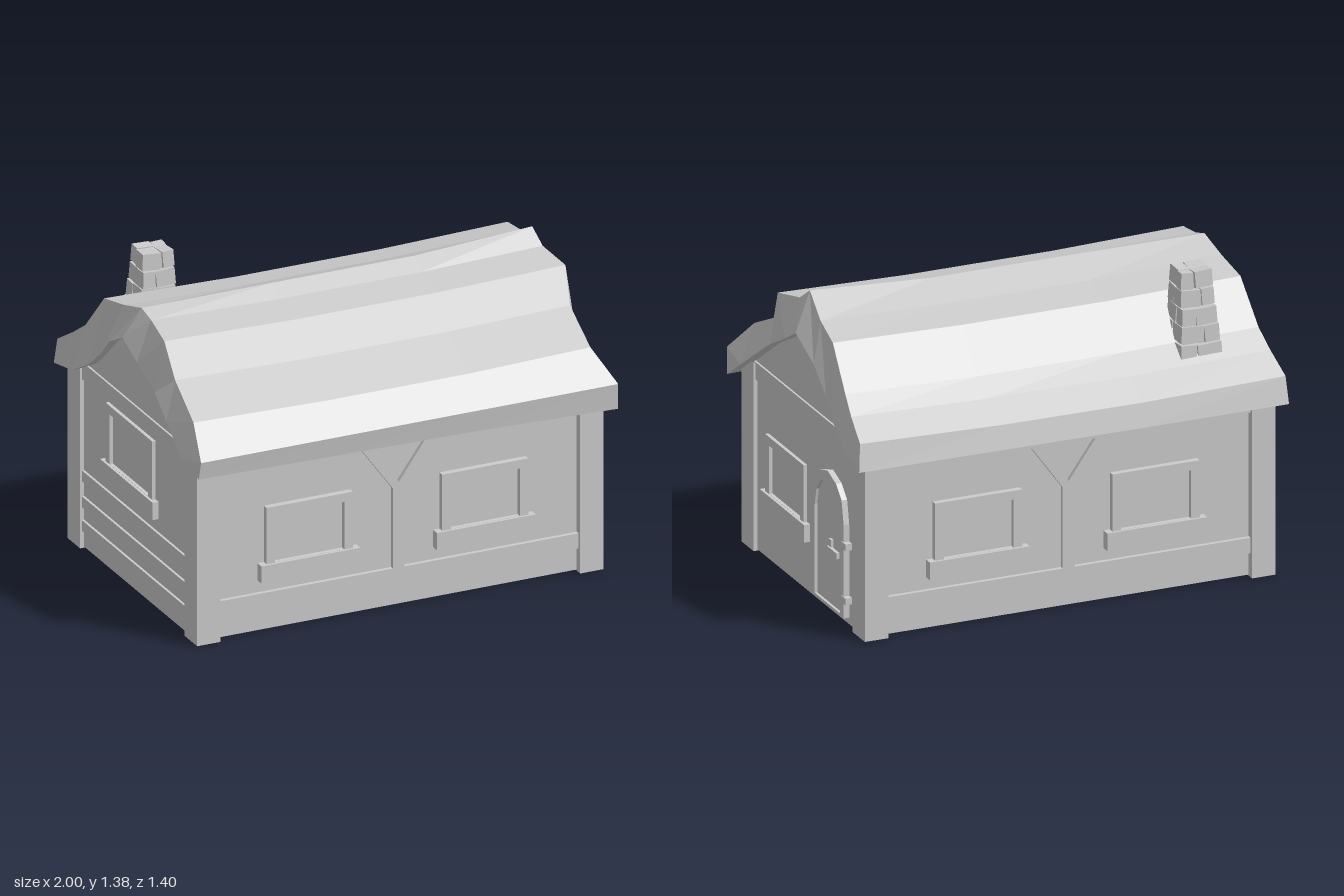
import * as THREE from 'three';

const grey = new THREE.MeshStandardMaterial({ color: 0xcccccc, flatShading: true, side: THREE.DoubleSide });

function add(parent, name, geometry) {
  const mesh = new THREE.Mesh(geometry, grey);
  mesh.name = name;
  parent.add(mesh);
  return mesh;
}

// box given by its limits
function box(parent, name, x0, x1, y0, y1, z0, z1) {
  const g = new THREE.BoxGeometry(x1 - x0, y1 - y0, z1 - z0);
  return add(parent, name, g.translate((x0 + x1) / 2, (y0 + y1) / 2, (z0 + z1) / 2));
}

const rect = (x0, x1, y0, y1) => [[x0, y0], [x1, y0], [x1, y1], [x0, y1]];

function outlineShape(outline, holes = []) {
  const vecs = pts => pts.map(p => new THREE.Vector2(...p));
  const shape = new THREE.Shape(vecs(outline));
  shape.holes = holes.map(h => new THREE.Path(vecs(h)));
  return shape;
}

// flat outline with holes, extruded from z0 to z1
function slab(parent, name, outline, holes, z0, z1) {
  const g = new THREE.ExtrudeGeometry(outlineShape(outline, holes), { depth: z1 - z0, bevelEnabled: false });
  return add(parent, name, g.translate(0, 0, z0));
}

// single thin sheet at depth z
function sheet(parent, name, outline, z) {
  return add(parent, name, new THREE.ShapeGeometry(outlineShape(outline)).translate(0, 0, z));
}

// window box reaching into the room, w = [x0, x1, y0, y1], d = wall plane
function addWindow(parent, [x0, x1, y0, y1], d) {
  const g = new THREE.Group();
  g.name = 'window';
  slab(g, 'windowFrame', rect(x0, x1, y0, y1), [rect(x0 + 0.04, x1 - 0.04, y0 + 0.001, y1 - 0.04)], d - 0.15, d + 0.014);
  sheet(g, 'windowPane', rect(x0 + 0.03, x1 - 0.03, y0, y1 - 0.03), d - 0.008);
  box(g, 'windowSill', x0 - 0.03, x1 + 0.03, y0 - 0.08, y0, d - 0.15, d + 0.026);
  parent.add(g);
}

// roof section: outer z, y, under z, y, from the front eave to the back eave
const section = [
  [0.70, 0.872, 0.688, 0.752], [0.583, 1.01, 0.56, 0.84], [0.36, 1.115, 0.40, 0.95],
  [0.274, 1.264, 0.274, 1.035], [0.113, 1.295, 0.12, 1.115], [0.03, 1.355, 0, 1.184],
  [-0.125, 1.275, -0.165, 1.10], [-0.297, 1.24, -0.28, 0.995], [-0.45, 1.06, -0.383, 0.906],
  [-0.55, 0.99, -0.534, 0.823], [-0.675, 0.913, -0.70, 0.793],
];
// ragged ends of the thatch
const outerLeft = [0.965, 0.945, 0.925, 0.935, 0.92, 0.925, 0.935, 0.945, 0.96, 0.97, 0.985];
const outerRight = [0.995, 0.92, 0.93, 0.95, 0.92, 0.91, 0.93, 0.95, 0.96, 0.97, 0.985];
const underLeft = [0.97, 0.99, 0.985, 0.98, 0.99, 1, 0.985, 0.97, 0.98, 0.985, 0.99];
const underRight = [1, 0.995, 0.99, 0.985, 0.985, 0.99, 0.98, 0.975, 0.985, 0.99, 1];

function roofGeometry() {
  const n = section.length, pos = [], idx = [];
  const sag = [0, -0.015, -0.015, 0];
  const ridgeDrop = [-0.035, -0.018, -0.018, 0];
  const eaveLift = [0.04, 0.03, 0.02, 0];
  const backInset = [0, 0, 0.01, 0.018];
  for (let s = 0; s < 4; s++) {
    const x = (i, l, r) => [-l[i], -0.32, 0.35, r[i]][s];
    const z = (i, v) => v + (i > 8 ? backInset[s] : 0);
    section.forEach(([zo, yo], i) => pos.push(
      x(i, outerLeft, outerRight), yo + (i ? sag[s] : 0) + (i === 5 ? ridgeDrop[s] : 0), z(i, zo)));
    for (let i = n - 1; i >= 0; i--) {
      const [, , zu, yu] = section[i];
      pos.push(x(i, underLeft, underRight), yu + (i ? 0 : eaveLift[s]), z(i, zu));
    }
  }
  const m = 2 * n;
  const quad = (a, b, c, d) => idx.push(a, b, c, a, c, d);
  for (let s = 0; s < 3; s++) {
    for (let k = 0; k < m; k++) {
      const a = s * m + k, b = s * m + (k + 1) % m;
      quad(a, a + m, b + m, b);
    }
  }
  for (let i = 0; i < n - 1; i++) {
    const u = m - 1 - i, e = 3 * m;
    quad(e + i, e + u, e + u - 1, e + i + 1);
    quad(i, i + 1, u - 1, u);
  }
  const g = new THREE.BufferGeometry();
  g.setAttribute('position', new THREE.Float32BufferAttribute(pos, 3));
  g.setIndex(idx);
  const flat = g.toNonIndexed();
  flat.computeVertexNormals();
  return flat;
}

// long wall: thin panel, timber rails, V brace and two windows
function longWall(name) {
  const g = new THREE.Group();
  g.name = name;
  sheet(g, 'wallPanel', rect(-0.92, 0.92, 0.005, 0.86), 0.605);
  const bay = s => [[s * 0.845, 0.18], [s * 0.028, 0.18], [s * 0.028, 0.55], [s * 0.172, 0.75], [s * 0.845, 0.75]];
  slab(g, 'timberFrame', rect(-0.86, 0.86, 0.11, 0.84),
    [bay(-1), bay(1), [[-0.125, 0.75], [0, 0.575], [0.125, 0.75]]], 0.55, 0.624);
  for (const x of [-0.625, 0.2]) addWindow(g, [x, x + 0.405, 0.315, 0.575], 0.619);
  return g;
}

// end wall whose gable follows the underside of the roof
function endWall(name, mirror, win) {
  const g = new THREE.Group();
  g.name = name;
  const gable = section.slice(1, 10).map(p => [-mirror * p[2], Math.max(p[3] + 0.015, 0.85)]);
  sheet(g, 'gableWall', [[-mirror * 0.56, 0.005], ...gable, [mirror * 0.56, 0.005]], 0.936);
  box(g, 'tieBeam', -0.53, 0.53, 0.78, 0.86, 0.88, 0.945);
  addWindow(g, win, 0.938);
  g.rotation.y = mirror * Math.PI / 2;
  return g;
}

// arched door, local x measured from its middle
function door() {
  const g = new THREE.Group();
  g.name = 'door';
  const arch = (w, y0, y1, top) => [[-w, y0], [w, y0], [w, y1], [w * 0.87, top - 0.085],
    [w * 0.53, top - 0.03], [0, top], [-w * 0.53, top - 0.03], [-w * 0.87, top - 0.085], [-w, y1]];
  slab(g, 'doorFrame', arch(0.168, 0.035, 0.46, 0.65), [arch(0.132, 0.045, 0.45, 0.61)], 0.92, 0.962);
  slab(g, 'doorLeaf', arch(0.135, 0.04, 0.45, 0.612), [], 0.92, 0.95);
  box(g, 'handlePlate', 0.012, 0.035, 0.285, 0.345, 0.94, 0.962);
  box(g, 'handleLever', 0.012, 0.11, 0.285, 0.312, 0.955, 0.97);
  for (const y of [0.105, 0.352]) box(g, 'hinge', 0.15, 0.195, y, y + 0.03, 0.93, 0.966);
  g.position.x = 0.268;
  return g;
}

// tapering chimney of loosely stacked bricks
function chimney() {
  const g = new THREE.Group();
  g.name = 'chimney';
  let seed = 7;
  const jitter = a => ((seed = (seed * 16807) % 2147483647) / 2147483647 - 0.5) * a;
  const rows = 6, h = 0.08;
  for (let r = 0; r < rows; r++) {
    const t = r / (rows - 1);
    const hx = 0.1 - 0.03 * t, hz = 0.097 - 0.03 * t;
    const cx = -0.668 + 0.008 * t, cz = -0.435 + 0.015 * t, y = 0.895 + r * h;
    const split = (r % 2 ? 1 : -1) * 0.2;
    box(g, 'chimneyCore', cx - hx + 0.012, cx + hx - 0.012, y, y + h - 0.008, cz - hz + 0.012, cz + hz - 0.012);
    for (const sx of [-1, 1]) {
      for (const sz of [-1, 1]) {
        const lx = hx * (1 - sx * split) - 0.003, lz = hz * (1 + sz * split) - 0.003;
        const b = box(g, 'chimneyBrick', -lx / 2, lx / 2, -h / 2 + 0.003, h / 2 - 0.003, -lz / 2, lz / 2);
        b.position.set(cx + sx * (hx - lx / 2) + jitter(0.008), y + h / 2 + jitter(0.006), cz + sz * (hz - lz / 2) + jitter(0.008));
        b.rotation.set(sz * -0.06, jitter(0.12), sx * 0.06);
      }
    }
  }
  return g;
}

export function createModel() {
  const house = new THREE.Group();
  house.name = 'cottage';

  const front = longWall('frontWall'), back = longWall('backWall');
  back.rotation.y = Math.PI;
  house.add(front, back);

  // door end on the right of the front, plank-clad end opposite
  const doorEnd = endWall('doorWall', 1, [-0.4, 0, 0.315, 0.575]);
  doorEnd.add(door());
  const plankEnd = endWall('plankWall', -1, [-0.27, 0.19, 0.5, 0.77]);
  for (const [y0, y1] of [[0.08, 0.13], [0.19, 0.24], [0.31, 0.36]]) {
    box(plankEnd, 'wallPlank', -0.53, 0.53, y0, y1, 0.88, 0.947);
  }
  house.add(doorEnd, plankEnd);

  // hollow corner posts, open at the foot
  for (const x of [-1, 1]) {
    for (const z of [-1, 1]) {
      const shell = new THREE.CylinderGeometry(Math.SQRT1_2, Math.SQRT1_2, 0.86, 4, 1, true);
      shell.rotateY(Math.PI / 4).scale(0.11, 1, 0.126);
      add(house, 'cornerPost', shell).position.set(x * 0.9, 0.43, z * 0.577);
    }
  }

  add(house, 'roof', roofGeometry());
  house.add(chimney());
  return house;
}
